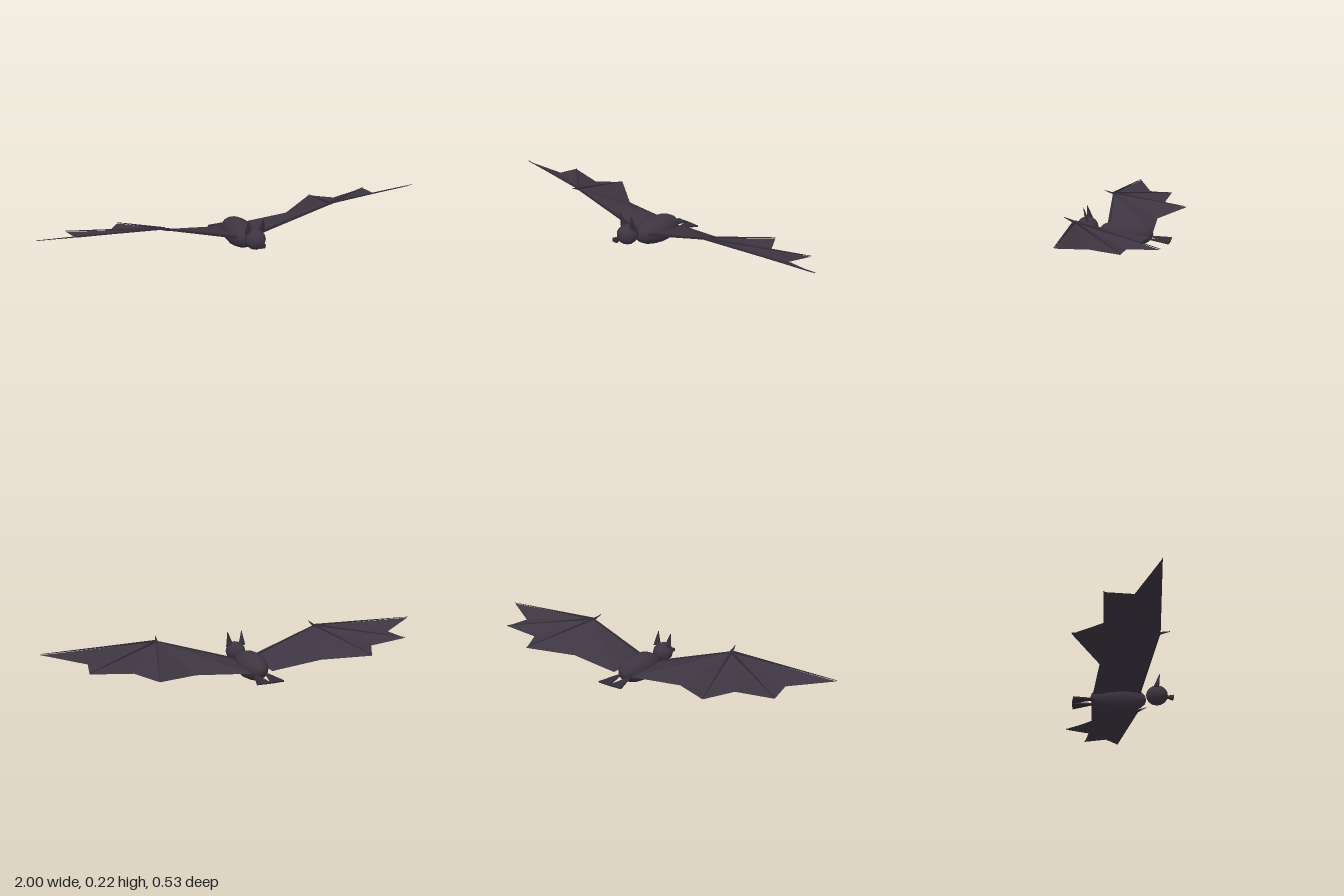
import * as THREE from 'three';

const fur = new THREE.MeshStandardMaterial({ color: 0x3d3541 });
fur.name = 'dark fur';
const skin = new THREE.MeshStandardMaterial({ color: 0x3d3541, flatShading: true, side: THREE.DoubleSide });
skin.name = 'wing skin';
const bone = new THREE.MeshStandardMaterial({ color: 0x342d38, flatShading: true });
bone.name = 'bone';

// Four-sided bar from a to b; size0 and size1 are [width, height] at its ends
function taper(name, a, b, size0, size1, material) {
  const from = new THREE.Vector3(...a), to = new THREE.Vector3(...b);
  const length = from.distanceTo(to);
  const geometry = new THREE.BoxGeometry(1, 1, length).translate(0, 0, length / 2);
  const p = geometry.attributes.position;
  for (let i = 0; i < p.count; i++) {
    const size = p.getZ(i) > length / 2 ? size1 : size0;
    p.setXY(i, p.getX(i) * size[0], p.getY(i) * size[1]);
  }
  geometry.computeVertexNormals();
  const mesh = new THREE.Mesh(geometry, material);
  mesh.name = name;
  mesh.position.copy(from);
  mesh.lookAt(to);
  return mesh;
}

// Smooth low-sided ellipsoid with its poles along z
function ellipsoid(name, center, radii, sides, rings) {
  const geometry = new THREE.SphereGeometry(1, sides, rings).rotateX(Math.PI / 2);
  geometry.scale(...radii);
  const mesh = new THREE.Mesh(geometry, fur);
  mesh.name = name;
  mesh.position.set(...center);
  return mesh;
}

function createWing(s) {
  const wing = new THREE.Group();
  wing.name = s > 0 ? 'leftWing' : 'rightWing';
  const at = (x, y, z) => [s * x, y, z];
  const wrist = at(0.44, 0.202, 0.132);
  const shoulder = at(0.055, 0.085, 0.083);
  const tip = at(1, 0.21, 0.067);
  const fingers = [at(0.83, 0.156, -0.147), at(0.55, 0.118, -0.264)];

  // Scalloped membrane, fanned out from the wrist
  const rim = [
    tip, at(0.81, 0.167, -0.02), fingers[0], at(0.63, 0.132, -0.133),
    fingers[1], at(0.335, 0.088, -0.13), at(0.055, 0.066, -0.145), shoulder,
  ];
  const corners = [];
  for (let i = 0; i < rim.length - 1; i++) corners.push(...wrist, ...rim[i], ...rim[i + 1]);
  const geometry = new THREE.BufferGeometry();
  geometry.setAttribute('position', new THREE.Float32BufferAttribute(corners, 3));
  geometry.computeVertexNormals();
  const membrane = new THREE.Mesh(geometry, skin);
  membrane.name = 'membrane';
  wing.add(membrane);

  // Arm, finger bones and thumb
  const lift = ([x, y, z], d) => [x, y + d, z];
  wing.add(taper('armBone', shoulder, wrist, [0.014, 0.012], [0.008, 0.008], bone));
  for (const end of [tip, ...fingers]) {
    wing.add(taper('fingerBone', lift(wrist, 0.004), lift(end, 0.004), [0.012, 0.008], [0.002, 0.002], bone));
  }
  wing.add(taper('thumb', wrist, at(0.43, 0.221, 0.182), [0.012, 0.01], [0.002, 0.002], bone));
  return wing;
}

export function createModel() {
  const bat = new THREE.Group();
  bat.name = 'bat';
  bat.add(ellipsoid('body', [0, 0.07, -0.016], [0.07, 0.07, 0.14], 14, 10));
  bat.add(ellipsoid('head', [0, 0.098, 0.179], [0.051, 0.051, 0.055], 12, 8));

  // Flared nose
  bat.add(taper('nose', [0, 0.092, 0.226], [0, 0.089, 0.262], [0.012, 0.009], [0.03, 0.02], bone));

  for (const s of [1, -1]) {
    bat.add(createWing(s));
    bat.add(taper(s > 0 ? 'leftEar' : 'rightEar',
      [s * 0.034, 0.128, 0.173], [s * 0.039, 0.2, 0.19], [0.034, 0.02], [0.002, 0.002], bone));
    bat.add(taper(s > 0 ? 'leftFoot' : 'rightFoot',
      [s * 0.03, 0.052, -0.135], [s * 0.036, 0.04, -0.242], [0.016, 0.005], [0.07, 0.008], bone));
  }
  return bat;
}
